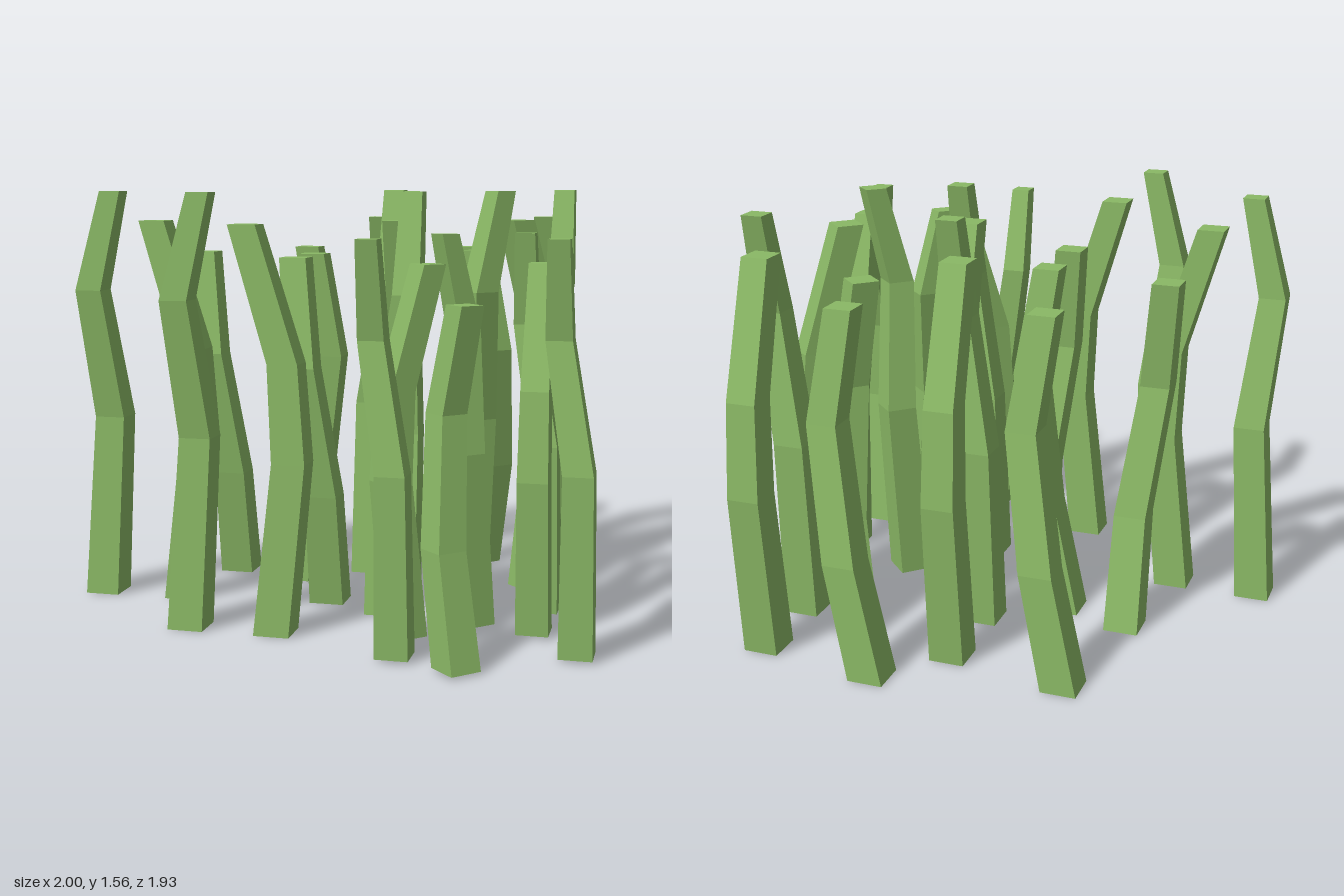
import * as THREE from 'three';

// Stalk shapes: square cross-sections as [x, y, z, width], from base to tip
const SHAPES = {
  tall: [[0, 0, 0, 0.13], [0.045, 0.7, 0, 0.115], [0, 1.19, 0.083, 0.1], [0.09, 1.56, 0.083, 0.08]],
  leaning: [[0, 0, 0, 0.13], [0.065, 0.62, 0, 0.12], [0.045, 0.97, 0, 0.11], [-0.1, 1.45, 0, 0.1]],
  hooked: [[0, 0, 0, 0.13], [0.088, 0.43, 0, 0.12], [0.163, 0.92, 0.06, 0.11], [0.108, 1.32, 0.1, 0.1]],
};

// Clumps of stalks: turn in degrees, scale, then base positions [x, z] per shape
const CLUMPS = [
  { name: 'leftRow', turn: 0, scale: 1,
    tall: [[-0.935, 0.21], [-0.455, 0.59]],
    leaning: [[-0.61, 0.21], [-0.133, 0.59]],
    hooked: [[-0.453, -0.75], [-0.27, -0.157], [0.209, -0.905]] },
  { name: 'middleRow', turn: 90, scale: 1,
    tall: [[-0.005, -0.345], [0.188, 0.24], [0.663, -0.505]],
    leaning: [[-0.005, -0.672], [0.185, -0.08], [0.66, -0.83]],
    hooked: [] },
  { name: 'turnedBack', turn: 270, scale: 1,
    tall: [], leaning: [], hooked: [[-0.53, -0.237], [-0.05, 0.137]] },
  { name: 'diagonal', turn: 45, scale: 1,
    tall: [[0.443, -0.015]], leaning: [[0.676, -0.245]], hooked: [] },
  { name: 'diagonalBack', turn: 315, scale: 1,
    tall: [], leaning: [], hooked: [[0.405, -0.61]] },
  { name: 'smallFront', turn: 270, scale: 0.9,
    tall: [[0.764, 0.105], [0.94, 0.633], [0.342, 0.78]],
    leaning: [[0.765, 0.395]], hooked: [] },
  { name: 'smallDiagonal', turn: 225, scale: 0.9,
    tall: [[0.535, 0.34]], leaning: [[0.326, 0.542]], hooked: [] },
  { name: 'smallDiagonalFront', turn: 135, scale: 0.9,
    tall: [], leaning: [], hooked: [[0.57, 0.875]] },
];

// A box in three storeys, each ring moved onto its cross-section
function stalkGeometry(rings) {
  const geometry = new THREE.BoxGeometry(1, 1, 1, 1, rings.length - 1, 1);
  const p = geometry.attributes.position;
  for (let i = 0; i < p.count; i++) {
    const [x, y, z, w] = rings[Math.round((p.getY(i) + 0.5) * (rings.length - 1))];
    p.setXYZ(i, x + p.getX(i) * w, y, z + p.getZ(i) * w);
  }
  geometry.computeVertexNormals();
  return geometry;
}

export function createModel() {
  const model = new THREE.Group();
  model.name = 'stalks';
  const green = new THREE.MeshStandardMaterial({ color: 0x8ab865, flatShading: true });

  const geometries = {};
  for (const shape in SHAPES) geometries[shape] = stalkGeometry(SHAPES[shape]);

  for (const clump of CLUMPS) {
    const group = new THREE.Group();
    group.name = clump.name;
    for (const shape in SHAPES) {
      for (const [x, z] of clump[shape]) {
        const stalk = new THREE.Mesh(geometries[shape], green);
        stalk.name = shape + 'Stalk';
        // small stalks stand a touch higher
        stalk.position.set(x, clump.scale < 1 ? 0.01 : 0, z);
        stalk.rotation.y = THREE.MathUtils.degToRad(clump.turn);
        stalk.scale.setScalar(clump.scale);
        group.add(stalk);
      }
    }
    model.add(group);
  }
  return model;
}
